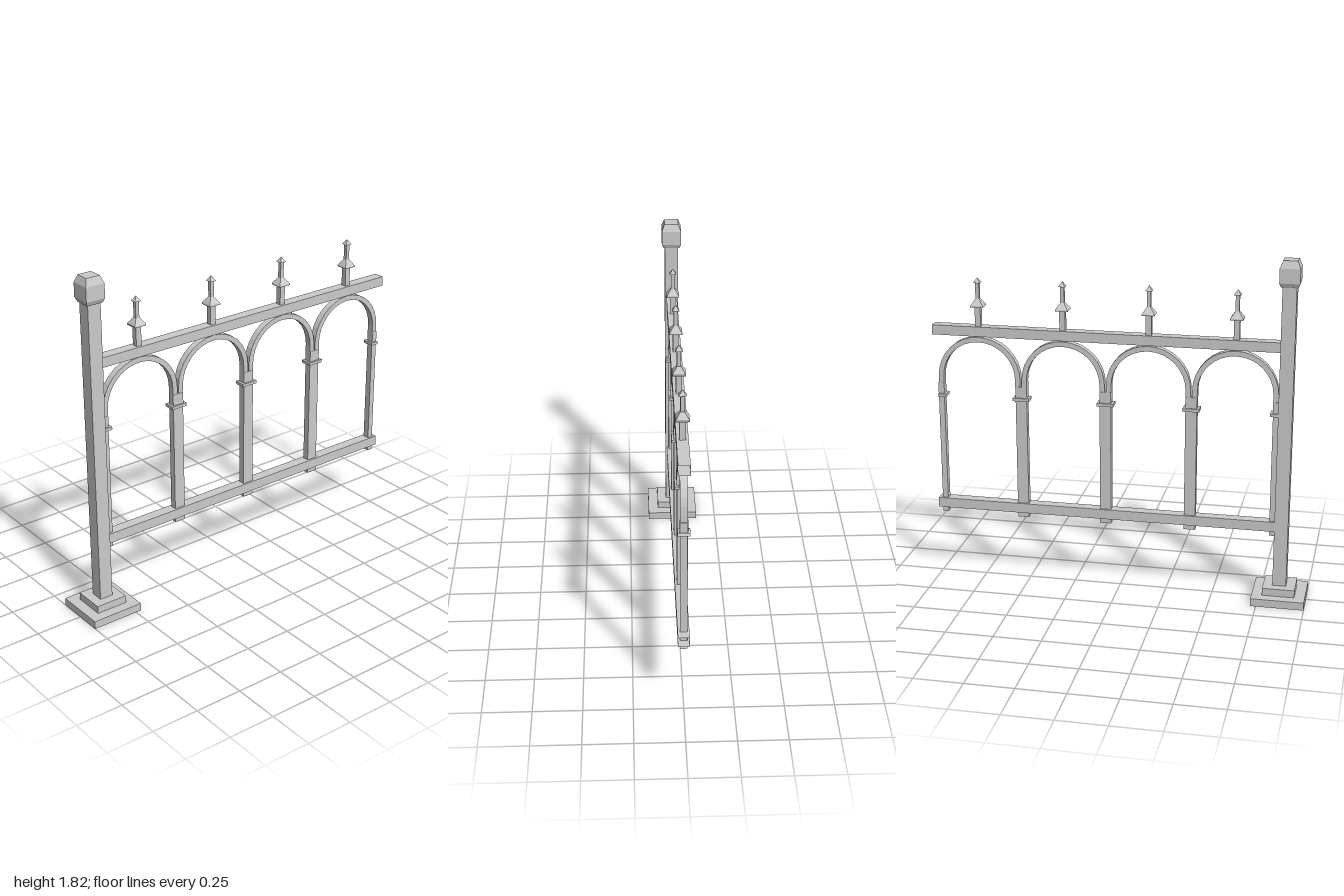
import * as THREE from 'three';

export function createModel() {
  const model = new THREE.Group();
  model.name = 'fenceSection';
  const iron = new THREE.MeshStandardMaterial({ color: 0xcbcbcb, flatShading: true, side: THREE.DoubleSide });
  iron.name = 'pale grey metal';

  const add = (name, geometry, z = 0, parent = model) => {
    const mesh = new THREE.Mesh(geometry, iron);
    mesh.name = name;
    mesh.position.z = z;
    parent.add(mesh);
    return mesh;
  };

  // Box given by half depth and y / z ranges; openBack leaves off its -z face
  const block = (halfX, y0, y1, z0, z1, openBack = false) => {
    const g = new THREE.BoxGeometry(halfX * 2, y1 - y0, z1 - z0);
    g.translate(0, (y0 + y1) / 2, (z0 + z1) / 2);
    if (openBack) {
      g.setIndex(Array.from(g.index.array).slice(0, 30));
      g.clearGroups();
    }
    return g;
  };

  // Square turned profile of [half width, y] points
  const squareLathe = (points) => {
    const profile = points.map(([w, y]) => new THREE.Vector2(w * Math.SQRT2, y));
    return new THREE.LatheGeometry(profile, 4, Math.PI / 4);
  };

  // Post with stepped foot and bevelled cap
  const postZ = 0.86;
  add('footPlate', block(0.14, 0, 0.042, -0.14, 0.14), postZ);
  add('footStep', block(0.085, 0.042, 0.082, -0.085, 0.085), postZ);
  add('post', block(0.036, 0.082, 1.7, -0.036, 0.036), postZ);
  add('postCap', squareLathe([
    [0, 1.688], [0.043, 1.688], [0.052, 1.71], [0.052, 1.785], [0.037, 1.823], [0, 1.823],
  ]), postZ);

  // Hollow rails, open at the far end
  add('topRail', block(0.029, 1.35, 1.402, -1, 0.825, true));
  add('bottomRail', block(0.029, 0.382, 0.435, -1, 0.825, true));

  // Columns with collar and arch springer; the first and last are halves
  const pitch = 0.4515, firstZ = 0.826, bays = 4;
  for (let i = 0; i <= bays; i++) {
    const column = new THREE.Group();
    column.name = 'column';
    column.position.z = firstZ - i * pitch;
    model.add(column);
    const last = i === bays;
    const part = (name, halfX, halfZ, y0, y1) => add(name,
      block(halfX, y0, y1, last ? 0 : -halfZ, i === 0 ? 0 : halfZ, last), 0, column);
    part('columnShaft', 0.018, 0.03, 0.355, 1.01);
    part('columnCollar', 0.03, 0.044, 1.01, 1.026);
    part('archSpringer', 0.02, 0.03, 1.026, 1.085);
  }

  // Arch outline with straight legs
  const outer = 0.222, inner = 0.195, springY = 1.122, legY = 1.026, steps = 16;
  const arch = new THREE.Shape();
  arch.moveTo(outer, legY);
  for (let i = 0; i <= steps; i++) {
    const a = (i / steps) * Math.PI;
    arch.lineTo(outer * Math.cos(a), springY + outer * Math.sin(a));
  }
  arch.lineTo(-outer, legY);
  arch.lineTo(-inner, legY);
  for (let i = steps; i >= 0; i--) {
    const a = (i / steps) * Math.PI;
    arch.lineTo(inner * Math.cos(a), springY + inner * Math.sin(a));
  }
  arch.lineTo(inner, legY);
  const archGeometry = new THREE.ExtrudeGeometry(arch, { depth: 0.036, bevelEnabled: false });
  archGeometry.translate(0, 0, -0.018).rotateY(-Math.PI / 2);

  // Spear finial: shaft, flared collar, thin neck and pointed tip
  const finialGeometry = squareLathe([
    [0.015, 1.4], [0.015, 1.505], [0.033, 1.507], [0.033, 1.514], [0.01, 1.548],
    [0.01, 1.63], [0.018, 1.632], [0, 1.66],
  ]);

  for (let i = 0; i < bays; i++) {
    const z = firstZ - (i + 0.5) * pitch;
    add('arch', archGeometry, z);
    add('finial', finialGeometry, z);
  }
  return model;
}
